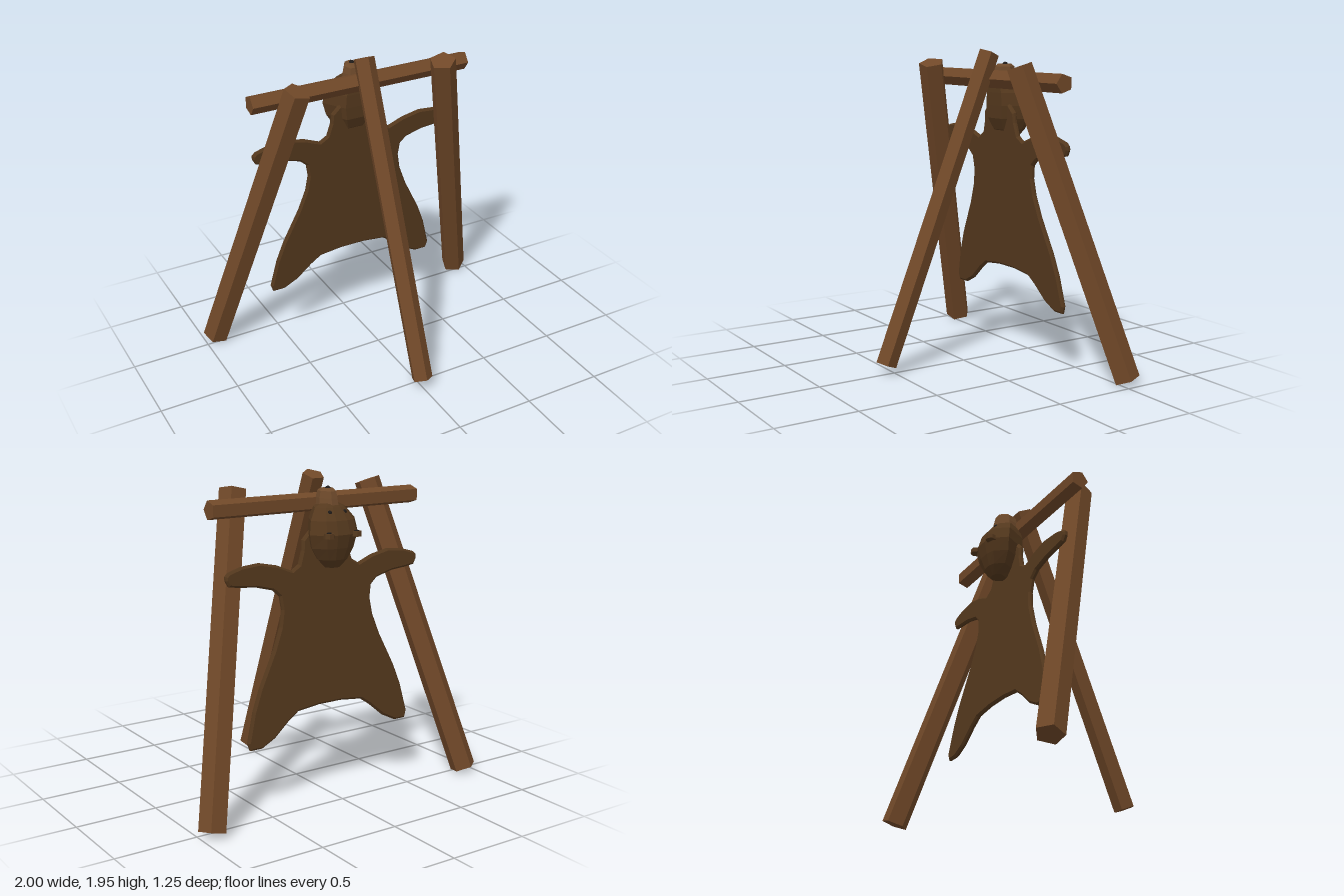
import * as THREE from 'three';

const material = (color) => new THREE.MeshStandardMaterial({ color, flatShading: true, side: THREE.DoubleSide });
const wood = material(0x704828);
const fur = material(0x54381d);
const muzzleFur = material(0x6e4a2b);
const dark = material(0x1e1a18);

// Five-sided pole between two points, turned about its own axis by spin.
function pole(name, from, to, radius, spin = 0) {
  const a = new THREE.Vector3(...from), b = new THREE.Vector3(...to);
  const dir = b.clone().sub(a);
  const geo = new THREE.CylinderGeometry(radius, radius, dir.length(), 5).rotateY(spin);
  const mesh = new THREE.Mesh(geo, wood);
  mesh.quaternion.setFromUnitVectors(new THREE.Vector3(0, 1, 0), dir.normalize());
  mesh.position.copy(a.add(b).multiplyScalar(0.5));
  mesh.name = name;
  return mesh;
}

// Solid through rings [y, zFront, zBack, halfWidth]; section holds [x, front-to-back] for the +x half.
function loft(name, section, rings, mat) {
  const loop = [...section, ...section.map(([x, t]) => [-x, t]).reverse()];
  const n = loop.length;
  const pos = [], index = [];
  for (const [y, zf, zb, hw] of rings)
    for (const [x, t] of loop) pos.push(x * hw, y, zf + (zb - zf) * t);
  for (let i = 0; i < rings.length - 1; i++)
    for (let j = 0; j < n; j++) {
      const a = i * n + j, b = i * n + (j + 1) % n;
      index.push(a, b, b + n, a, b + n, a + n);
    }
  const top = (rings.length - 1) * n;
  for (let j = 1; j < n - 1; j++) index.push(0, j + 1, j, top, top + j, top + j + 1);
  const geo = new THREE.BufferGeometry();
  geo.setAttribute('position', new THREE.Float32BufferAttribute(pos, 3));
  geo.setIndex(index);
  geo.computeVertexNormals();
  const mesh = new THREE.Mesh(geo, mat);
  mesh.name = name;
  return mesh;
}

// Stretched hide: mirrored half outline, thin, leaning backwards towards the bottom.
function makeHide() {
  const half = [
    [0, 1.64], [0.1, 1.62], [0.16, 1.56], [0.165, 1.5], [0.19, 1.42], [0.24, 1.39], [0.34, 1.43],
    [0.46, 1.455], [0.58, 1.445], [0.665, 1.42], [0.685, 1.4], [0.685, 1.375], [0.665, 1.34], [0.6, 1.33], [0.49, 1.32],
    [0.375, 1.29], [0.33, 1.25], [0.318, 1.17], [0.335, 1.07], [0.385, 0.94], [0.49, 0.73],
    [0.54, 0.6], [0.585, 0.42], [0.57, 0.375], [0.49, 0.375], [0.4, 0.42], [0.3, 0.505],
    [0.23, 0.553], [0.08, 0.57],
  ];
  const outline = [...half, ...half.slice(1).reverse().map(([x, y]) => [-x, y])];
  const shape = new THREE.Shape(outline.map(([x, y]) => new THREE.Vector2(x, y)));
  const geo = new THREE.ExtrudeGeometry(shape, {
    depth: 0.012, bevelThickness: 0.011, bevelSize: 0.012, bevelOffset: -0.012, bevelSegments: 1,
  });
  const p = geo.attributes.position;
  for (let i = 0; i < p.count; i++) p.setZ(i, p.getZ(i) - 0.296 + (p.getY(i) - 1.4) * 0.062);
  geo.computeVertexNormals();
  const mesh = new THREE.Mesh(geo, fur);
  mesh.name = 'hide';
  return mesh;
}

function makeHead() {
  const head = new THREE.Group();
  head.name = 'head';
  head.add(loft('skull', [[0.5, 0], [1, 0.6], [0.62, 0.92], [0.25, 1]], [
    [1.40, -0.31, -0.40, 0.05],
    [1.45, -0.265, -0.435, 0.105],
    [1.52, -0.235, -0.46, 0.15],
    [1.60, -0.23, -0.478, 0.17],
    [1.68, -0.23, -0.455, 0.155],
    [1.75, -0.235, -0.40, 0.105],
    [1.77, -0.25, -0.38, 0.06],
  ], fur));
  // muzzle points upwards
  head.add(loft('muzzle', [[0.7, 0], [1, 0.5], [0.35, 1]], [
    [1.73, -0.245, -0.395, 0.066],
    [1.80, -0.25, -0.38, 0.06],
    [1.84, -0.258, -0.37, 0.052],
    [1.855, -0.275, -0.35, 0.036],
  ], muzzleFur));

  const ball = (name, r, x, y, z) => {
    const mesh = new THREE.Mesh(new THREE.IcosahedronGeometry(r, 1), dark);
    mesh.position.set(x, y, z);
    mesh.name = name;
    head.add(mesh);
  };
  ball('nose', 0.018, 0, 1.85, -0.313);

  for (const s of [1, -1]) {
    ball('eye', 0.015, s * 0.052, 1.722, -0.405);
    const ear = new THREE.Mesh(new THREE.CylinderGeometry(0.03, 0.033, 0.03, 7), fur);
    ear.position.set(s * 0.097, 1.6, -0.465);
    ear.name = 'ear';
    const inner = new THREE.Mesh(new THREE.CylinderGeometry(0.015, 0.015, 0.006, 7), dark);
    inner.position.y = 0.016;
    inner.name = 'innerEar';
    ear.add(inner);
    head.add(ear);
  }
  return head;
}

export function createModel() {
  const model = new THREE.Group();
  model.name = 'hideDryingRack';

  // wooden tripod and crossbar
  model.add(
    pole('frontPole', [0, 0.065, 0.559], [0, 1.925, -0.181], 0.067),
    pole('leftPole', [0.925, 0.03, -0.545], [0.48, 1.855, -0.065], 0.082),
    pole('rightPole', [-0.925, 0.03, -0.545], [-0.485, 1.855, -0.065], 0.082, Math.PI),
    pole('crossbar', [-0.725, 1.765, -0.213], [0.725, 1.765, -0.213], 0.058),
  );

  // hide with its head
  const pelt = new THREE.Group();
  pelt.name = 'pelt';
  pelt.position.x = -0.01;
  pelt.add(makeHide(), makeHead());
  model.add(pelt);
  return model;
}
